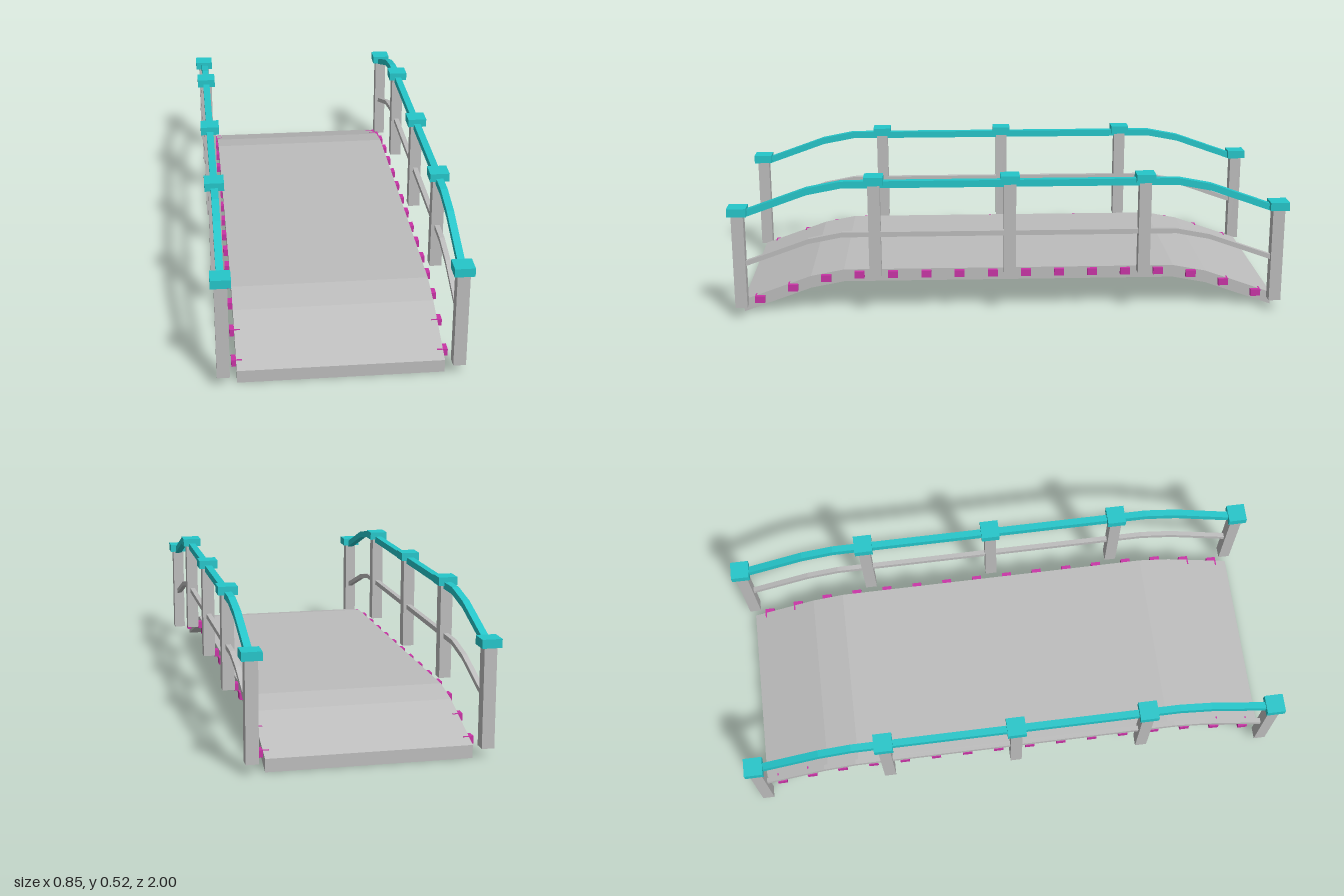
import * as THREE from 'three';

const gray = new THREE.MeshStandardMaterial({ color: 0xbdbdbd });
gray.name = 'stoneGray';
const teal = new THREE.MeshStandardMaterial({ color: 0x25c6ca });
teal.name = 'teal';
const magenta = new THREE.MeshStandardMaterial({ color: 0xc934a6 });
magenta.name = 'magenta';

// Drop of the arch below its flat middle, at each bend along z
const ARCH = [[-0.965, 0.11], [-0.72, 0.023], [-0.6, 0], [0.6, 0], [0.72, 0.023], [0.965, 0.11]];

function archDrop(z) {
  const a = Math.abs(z);
  if (a <= 0.6) return 0;
  return a < 0.72 ? (a - 0.6) / 0.12 * 0.023 : 0.023 + (a - 0.72) / 0.245 * 0.087;
}

// Strip of constant thickness that follows the arch, extruded across x
function archStrip(name, top, thickness, width, x, material) {
  const upper = ARCH.map(([z, d]) => new THREE.Vector2(z, top - d));
  const lower = ARCH.map(([z, d]) => new THREE.Vector2(z, top - d - thickness)).reverse();
  const geometry = new THREE.ExtrudeGeometry(new THREE.Shape([...upper, ...lower]), {
    depth: width, bevelEnabled: false,
  });
  geometry.translate(0, 0, -width / 2);
  geometry.rotateY(-Math.PI / 2);
  const mesh = new THREE.Mesh(geometry, material);
  mesh.name = name;
  mesh.position.x = x;
  return mesh;
}

function box(name, w, h, d, x, y, z, material) {
  const mesh = new THREE.Mesh(new THREE.BoxGeometry(w, h, d), material);
  mesh.name = name;
  mesh.position.set(x, y, z);
  return mesh;
}

export function createModel() {
  const bridge = new THREE.Group();
  bridge.name = 'footbridge';

  // Arched walkway
  bridge.add(archStrip('deck', 0.156, 0.045, 0.694, 0, gray));

  for (const side of [-1, 1]) {
    const railing = new THREE.Group();
    railing.name = side > 0 ? 'leftRailing' : 'rightRailing';
    const x = side * 0.392;

    // Rails
    railing.add(archStrip('handrail', 0.5, 0.025, 0.025, x, teal));
    railing.add(archStrip('middleRail', 0.312, 0.018, 0.018, x, gray));

    // Posts with square caps
    for (let i = -2; i <= 2; i++) {
      const z = i * 0.483;
      const drop = archDrop(z);
      railing.add(box('post', 0.043, 0.345, 0.043, x, 0.32 - drop, z, gray));
      railing.add(box('postCap', 0.068, 0.03, 0.068, x, 0.503 - drop * 0.98, z, teal));
    }
    bridge.add(railing);

    // Beam ends poking out of the deck side
    const pegs = new THREE.Group();
    pegs.name = side > 0 ? 'leftBeamEnds' : 'rightBeamEnds';
    for (let i = 0; i < 16; i++) {
      const z = (i - 7.5) * 0.1208;
      pegs.add(box('beamEnd', 0.036, 0.025, 0.036, side * 0.345, 0.139 - archDrop(z), z, magenta));
    }
    bridge.add(pegs);
  }
  return bridge;
}
